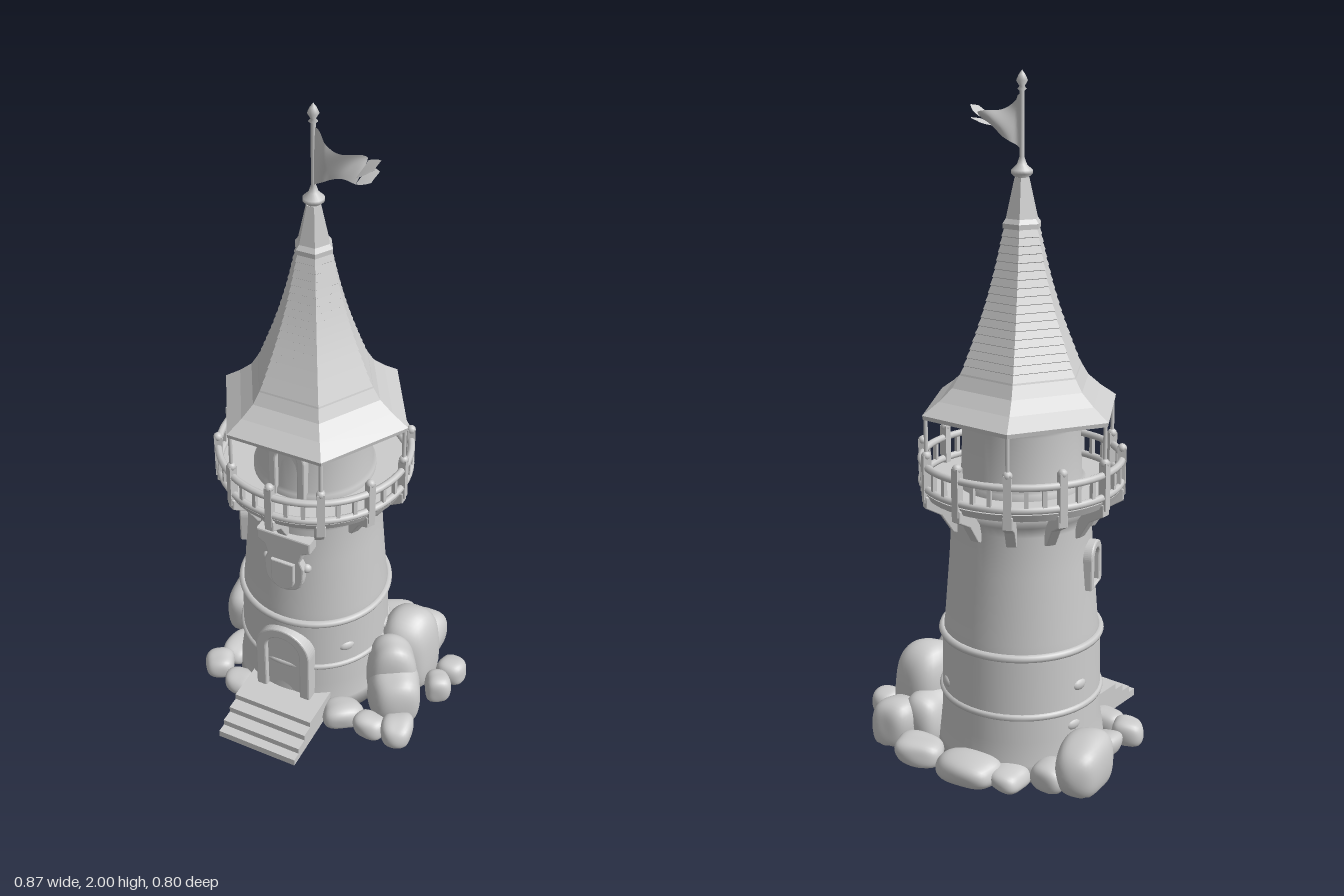
import * as THREE from 'three';
import { mergeVertices } from 'three/addons/utils/BufferGeometryUtils.js';

const stone = new THREE.MeshStandardMaterial({ color: 0xcccccc });
const faceted = new THREE.MeshStandardMaterial({ color: 0xcccccc, flatShading: true });
const cloth = new THREE.MeshStandardMaterial({ color: 0xcccccc, side: THREE.DoubleSide });
const V2 = (x, y) => new THREE.Vector2(x, y);

function add(parent, name, geometry, x = 0, y = 0, z = 0, material = stone) {
  const mesh = new THREE.Mesh(geometry, material);
  mesh.name = name;
  mesh.position.set(x, y, z);
  parent.add(mesh);
  return mesh;
}

const lathe = (points, sides) => new THREE.LatheGeometry(points.map(p => V2(p[0], p[1])), sides);

function ring(parent, name, radius, thickness, y) {
  add(parent, name, new THREE.TorusGeometry(radius, thickness, 8, 64), 0, y, 0).rotation.x = Math.PI / 2;
}

// Round-topped outline standing on y = 0
function arch(half, height, Type = THREE.Shape) {
  const s = new Type();
  s.moveTo(-half, 0);
  s.lineTo(half, 0);
  s.lineTo(half, height - half);
  s.absarc(0, height - half, half, 0, Math.PI, false);
  s.lineTo(-half, 0);
  return s;
}

const extrude = (shape, depth, bevel = 0.005) => new THREE.ExtrudeGeometry(shape, {
  depth, bevelEnabled: bevel > 0, bevelThickness: bevel, bevelSize: bevel, bevelSegments: 2, curveSegments: 14 });

// Arched opening: raised surround with a panel set inside it
function archway(parent, name, half, height, rim, depth) {
  const g = new THREE.Group();
  g.name = name;
  const frame = arch(half, height);
  frame.holes.push(arch(half - rim, height - rim, THREE.Path));
  add(g, name + 'Frame', extrude(frame, depth));
  add(g, name + 'Panel', extrude(arch(half - rim + 0.004, height - rim + 0.004), depth - 0.012, 0));
  parent.add(g);
  return g;
}

// Rounded boulder, cut flat at the ground
function boulder(parent, x, z, rx, height, rz, turn, seed) {
  let geo = new THREE.IcosahedronGeometry(1, 7);
  geo.deleteAttribute('uv');
  geo.deleteAttribute('normal');
  geo = mergeVertices(geo, 1e-4);
  const p = geo.attributes.position, v = new THREE.Vector3();
  for (let i = 0; i < p.count; i++) {
    v.fromBufferAttribute(p, i);
    const bump = 1 + 0.07 * Math.sin(2.6 * v.x + seed) * Math.cos(2.2 * v.y + seed * 2)
      + 0.06 * Math.sin(3.4 * v.z + seed * 3 + v.x);
    // blend towards a box for worn flat sides
    const box = 1 / Math.pow(v.x ** 4 + v.y ** 4 + v.z ** 4, 0.13);
    v.multiplyScalar(bump * box * 0.94);
    p.setXYZ(i, v.x * rx, Math.max(0, height * (0.4 + 0.6 * v.y)), v.z * rz);
  }
  geo.computeVertexNormals();
  add(parent, 'boulder', geo, x, 0, z).rotation.y = turn;
}

export function createModel() {
  const model = new THREE.Group();
  model.name = 'watchtower';
  const tower = new THREE.Group();
  tower.name = 'tower';
  tower.position.set(-0.06, 0, -0.05);
  model.add(tower);

  // Tapering body, flaring out under the balcony
  add(tower, 'body', lathe([[0, 0], [0.255, 0], [0.25, 0.05], [0.24, 0.12], [0.236, 0.36], [0.228, 0.42],
    [0.212, 0.62], [0.205, 0.74], [0.212, 0.77], [0.25, 0.825], [0, 0.825]], 56));
  ring(tower, 'lowerBand', 0.236, 0.011, 0.2);
  ring(tower, 'upperBand', 0.235, 0.012, 0.385);
  // Loose stones standing proud of the wall
  [[1.75, 0.23], [4.6, 0.27], [4.5, 0.15], [2.6, 0.24], [0.9, 0.27]].forEach(([a, y]) => {
    const s = add(tower, 'wallStone', new THREE.SphereGeometry(0.022, 14, 10), 0.232 * Math.sin(a), y, 0.232 * Math.cos(a));
    s.scale.set(1.2, 0.8, 0.6);
    s.rotation.y = a;
  });

  // Doors and side window
  archway(tower, 'frontDoor', 0.09, 0.345, 0.026, 0.05).position.set(0.01, 0.005, 0.203);
  archway(tower, 'balconyDoor', 0.055, 0.2, 0.016, 0.03).position.set(0, 0.83, 0.153);
  const side = archway(tower, 'sideWindow', 0.045, 0.13, 0.014, 0.03);
  side.position.set(-0.198 * Math.sin(1.25), 0.55, 0.198 * Math.cos(1.25));
  side.rotation.y = -1.25;

  // Hanging panel over the front door: bracketed head above a round-ended board
  const crest = new THREE.Shape([[0.085, 0.21], [0.085, 0.18], [0.06, 0.165], [0.05, 0.13], [0.062, 0.1], [0.06, 0.06]].map(p => V2(...p)));
  crest.bezierCurveTo(0.055, -0.015, -0.055, -0.015, -0.06, 0.06);
  [[-0.062, 0.1], [-0.05, 0.13], [-0.06, 0.165], [-0.085, 0.18], [-0.085, 0.21]].forEach(p => crest.lineTo(...p));
  add(tower, 'hangingPanel', extrude(crest, 0.055), 0.005, 0.505, 0.165);
  add(tower, 'panelInset', extrude(arch(0.035, 0.1), 0.02, 0.004), 0.005, 0.62, 0.212).rotation.z = Math.PI;
  for (const s of [-1, 1]) add(tower, 'panelKnob', new THREE.SphereGeometry(0.016, 12, 10), 0.005 + s * 0.066, 0.6, 0.2);

  // Balcony floor and upper room
  add(tower, 'balconyFloor', new THREE.CylinderGeometry(0.295, 0.285, 0.022, 48), 0, 0.83, 0);
  add(tower, 'upperRoom', lathe([[0.186, 0.835], [0.186, 0.86], [0.176, 0.865], [0.17, 1.02], [0.18, 1.03], [0.18, 1.08]], 48));

  // Railing
  ring(tower, 'bottomRail', 0.29, 0.011, 0.853);
  ring(tower, 'topRail', 0.29, 0.011, 0.918);
  for (let i = 0; i < 36; i++) {
    const a = i * Math.PI / 18, main = i % 3 === 0;
    const post = add(tower, main ? 'railPost' : 'baluster',
      main ? new THREE.BoxGeometry(0.022, 0.14, 0.024) : new THREE.BoxGeometry(0.012, 0.07, 0.012),
      0.29 * Math.sin(a), 0.885, 0.29 * Math.cos(a));
    post.rotation.y = a;
    if (main) add(tower, 'postCap', new THREE.SphereGeometry(0.014, 10, 8), 0.29 * Math.sin(a), 0.952, 0.29 * Math.cos(a));
  }

  // Brackets under the balcony, and slim columns up to the eaves
  const brace = new THREE.Shape([V2(0.19, 0.71), V2(0.215, 0.72), V2(0.25, 0.775), V2(0.295, 0.8), V2(0.295, 0.83), V2(0.19, 0.83)]);
  const braceGeo = extrude(brace, 0.024, 0.003).translate(0, 0, -0.012);
  for (let i = 0; i < 12; i++) {
    const bracket = add(tower, 'bracket', braceGeo);
    bracket.rotation.y = i * Math.PI / 6;
    if (i % 2) continue;
    const a = i * Math.PI / 6;
    add(tower, 'column', new THREE.CylinderGeometry(0.006, 0.006, 0.14, 10), 0.29 * Math.cos(a), 1.0, 0.29 * Math.sin(a));
  }

  // Six-sided roof: flared eaves, then overlapping shingle courses
  const roof = [[0, 1.075], [0.17, 1.075], [0.298, 1.058], [0.3, 1.07], [0.25, 1.105], [0.21, 1.14], [0.188, 1.175]];
  const courses = 18;
  for (let i = 0; i < courses; i++) {
    const r = t => 0.182 - 0.13 * t - 0.012 * Math.sin(Math.PI * t);
    const t0 = i / courses, t1 = (i + 1) / courses;
    roof.push([r(t0) + 0.004, 1.18 + 0.4 * t0], [r(t1) + 0.001, 1.178 + 0.4 * t1]);
  }
  roof.push([0.058, 1.578], [0.058, 1.592], [0.048, 1.605], [0.022, 1.715], [0, 1.715]);
  add(tower, 'roof', lathe(roof, 6), 0, 0, 0, faceted).rotation.y = Math.PI / 6;

  // Pole with collar and pointed finial
  add(tower, 'flagpole', lathe([[0.02, 1.69], [0.018, 1.715], [0.03, 1.725], [0.03, 1.735], [0.014, 1.75], [0.007, 1.77],
    [0.007, 1.945], [0.013, 1.95], [0.007, 1.957], [0.016, 1.972], [0.009, 1.988], [0, 2]], 20));

  // Waving pennant that narrows and then splits into two tails
  const flag = (name, u0, u1, top, bottom) => {
    const geo = new THREE.PlaneGeometry(1, 1, 24, 10), p = geo.attributes.position;
    for (let i = 0; i < p.count; i++) {
      const t = p.getX(i) + 0.5, u = u0 + (u1 - u0) * t, v = p.getY(i) + 0.5;
      const y = THREE.MathUtils.lerp(bottom(t), top(t), v);
      const z = 0.045 * u + 0.032 * Math.sin(u * 6 + (1 - v) * 2.2) * Math.min(1, u * 4) + 0.04 * (1 - v) * Math.sin(Math.PI * Math.min(u, 1));
      p.setXYZ(i, 0.21 * u, y, z);
    }
    geo.computeVertexNormals();
    add(tower, name, geo, 0, 0, 0, cloth);
  };
  flag('pennant', 0, 0.75, t => 1.935 - 0.06 * t + 0.008 * Math.sin(t * 8), t => 1.765 + 0.075 * Math.pow(t, 0.6));
  flag('upperTail', 0.75, 1, t => 1.875 + 0.025 * t, t => 1.857 + 0.034 * t);
  flag('lowerTail', 0.75, 0.97, t => 1.859 + 0.006 * t, t => 1.84 + 0.016 * t);

  // Front steps
  [[0.4, 0.024], [0.37, 0.045], [0.33, 0.066], [0.29, 0.086]].forEach(([front, h]) =>
    add(model, 'step', new THREE.BoxGeometry(0.27, h, front - 0.1), -0.045, h / 2, (front + 0.1) / 2));

  // Boulders round the foot: x, z, half width, height, half depth, turn
  [[-0.36, -0.14, 0.078, 0.155, 0.115, 0.25], [-0.29, -0.21, 0.06, 0.08, 0.055, 0], [-0.32, 0.145, 0.052, 0.075, 0.05, 0.4],
    [-0.22, 0.18, 0.06, 0.06, 0.05, 0], [-0.3, 0.04, 0.05, 0.06, 0.08, 0], [-0.08, -0.33, 0.105, 0.08, 0.07, 0.1],
    [-0.19, -0.28, 0.06, 0.06, 0.06, 0], [0.11, -0.325, 0.08, 0.075, 0.062, 0.3], [0.25, -0.265, 0.07, 0.14, 0.085, 0.1],
    [0.25, -0.13, 0.095, 0.275, 0.11, 0.1], [0.385, -0.17, 0.052, 0.08, 0.05, 0], [0.37, -0.08, 0.045, 0.09, 0.05, 0.5],
    [0.24, 0.0, 0.085, 0.265, 0.075, 0.4], [0.28, 0.05, 0.09, 0.19, 0.085, 0.5], [0.33, 0.15, 0.055, 0.085, 0.065, 0.3],
    [0.24, 0.165, 0.055, 0.07, 0.048, 0], [0.14, 0.16, 0.07, 0.075, 0.055, 0.6], [0.18, -0.2, 0.07, 0.16, 0.08, 0]
  ].forEach((b, i) => boulder(model, ...b, i * 1.7));

  return model;
}
